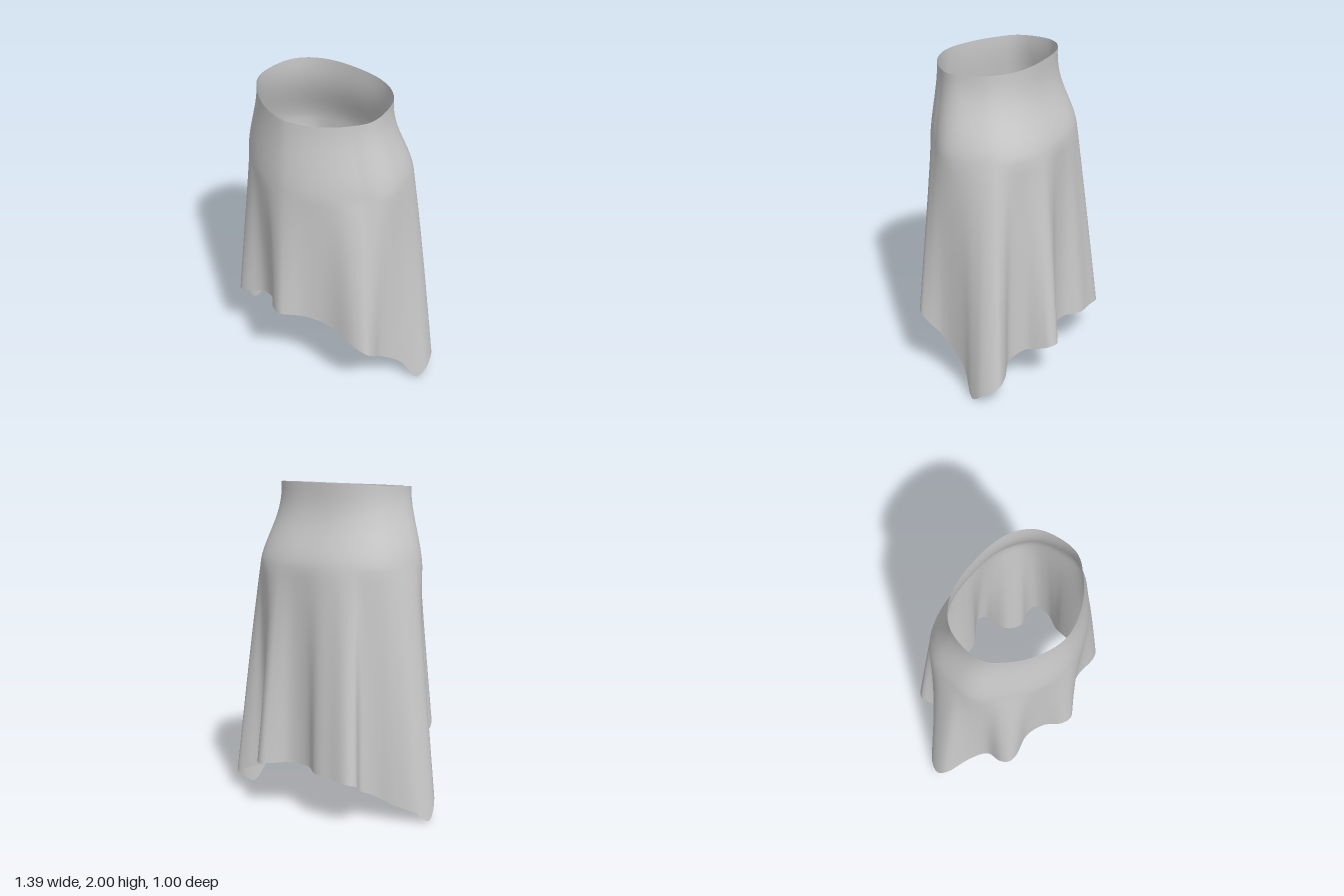
import * as THREE from 'three';

// Hem line as [x, y, z], from the front centre round by the left side (+x)
const HEM = [
  [0.03, 0.62, 0.495], [0.08, 0.62, 0.47], [0.16, 0.6, 0.4], [0.3, 0.56, 0.34], [0.48, 0.49, 0.335],
  [0.56, 0.44, 0.3], [0.57, 0.39, 0.24], [0.555, 0.31, 0.14], [0.6, 0.16, -0.03], [0.665, 0, -0.12],
  [0.69, 0.05, -0.2], [0.65, 0.12, -0.3], [0.57, 0.15, -0.3], [0.46, 0.19, -0.265], [0.36, 0.235, -0.32],
  [0.335, 0.26, -0.42], [0.32, 0.28, -0.475], [0.27, 0.285, -0.5], [0.21, 0.29, -0.47], [0.12, 0.295, -0.4],
  [-0.03, 0.295, -0.4], [-0.13, 0.29, -0.47], [-0.25, 0.28, -0.475], [-0.37, 0.265, -0.475], [-0.41, 0.25, -0.43],
  [-0.37, 0.19, -0.33], [-0.42, 0.155, -0.265], [-0.54, 0.1, -0.21], [-0.65, 0.06, -0.15], [-0.695, 0, -0.08],
  [-0.675, 0.12, 0.01], [-0.53, 0.27, 0.1], [-0.445, 0.38, 0.19], [-0.45, 0.46, 0.3], [-0.42, 0.5, 0.355],
  [-0.36, 0.52, 0.365], [-0.23, 0.56, 0.34], [-0.11, 0.6, 0.39], [-0.04, 0.62, 0.47],
];
const WAIST = { x: 0.02, z: 0.067, rx: 0.42, rz: 0.332 };
const HIP = { x: 0.025, z: 0.026, rx: 0.53, rz: 0.412 };
const HIP_Y = 1.5;
const UPPER_ROWS = 12, LOWER_ROWS = 22, COLS = HEM.length * 4;
const SPREAD = 6;
const { lerp, clamp, smoothstep } = THREE.MathUtils;

// Point on an oval that is pointed at the front and squared at the back;
// angle 0 is the front, a quarter turn is +x
function oval(o, a) {
  const s = Math.sin(a), c = Math.cos(a);
  const e = 2.1 - 0.4 * clamp(2 * c, -1, 1);
  const k = Math.pow(Math.abs(s) ** e + Math.abs(c) ** e, -1 / e);
  return [o.x + o.rx * s * k, o.z + o.rz * c * k];
}

// Angle of each hem point about the hips, averaged over its neighbours
// so that the cloth of each fold fans out evenly from the hips
function columnAngles(points) {
  const raw = points.map((h, i) => {
    const a = Math.atan2((h.x - HIP.x) / HIP.rx, (h.z - HIP.z) / HIP.rz);
    const turn = (2 * Math.PI * i) / COLS;
    return a + 2 * Math.PI * Math.round((turn - a) / (2 * Math.PI));
  });
  return raw.map((_, i) => {
    let sum = 0;
    for (let d = -SPREAD; d <= SPREAD; d++) {
      const j = i + d;
      sum += raw[(j + COLS) % COLS] + 2 * Math.PI * Math.floor(j / COLS);
    }
    return sum / (2 * SPREAD + 1);
  });
}

function skirtGeometry() {
  const curve = new THREE.CatmullRomCurve3(HEM.map((p) => new THREE.Vector3(...p)), true, 'centripetal');
  const hem = Array.from({ length: COLS }, (_, i) => curve.getPoint(i / COLS));
  const angles = columnAngles(hem);
  const rows = UPPER_ROWS + LOWER_ROWS;
  const positions = [], index = [];

  hem.forEach((h, i) => {
    const angle = angles[i];
    const w = oval(WAIST, angle), p = oval(HIP, angle);
    const topY = 1.98 - 0.022 * Math.cos(angle);
    const back = Math.max(0, -Math.cos(angle));
    const side = Math.abs(Math.sin(angle));

    // Waist to hip: rounded, with a hollow in the small of the back
    for (let r = 0; r < UPPER_ROWS; r++) {
      const t = r / UPPER_ROWS;
      const f = Math.pow(smoothstep(t, 0, 1.08) / smoothstep(1, 0, 1.08), 1 + 0.6 * back);
      positions.push(lerp(w[0], p[0], f), lerp(topY, HIP_Y, t), lerp(w[1], p[1], f));
    }
    // Hip to hem: the folds deepen as the cloth falls, swelling a little at the sides
    for (let r = 0; r <= LOWER_ROWS; r++) {
      const t = r / LOWER_ROWS;
      const f = Math.pow(t, 1 - 0.12 * side);
      positions.push(lerp(p[0], h.x, f), Math.max(0, lerp(HIP_Y, h.y, t)), lerp(p[1], h.z, f));
    }
    const c0 = i * (rows + 1), c1 = ((i + 1) % COLS) * (rows + 1);
    for (let r = 0; r < rows; r++) {
      index.push(c0 + r, c0 + r + 1, c1 + r + 1, c0 + r, c1 + r + 1, c1 + r);
    }
  });
  const geometry = new THREE.BufferGeometry();
  geometry.setAttribute('position', new THREE.Float32BufferAttribute(positions, 3));
  geometry.setIndex(index);
  geometry.computeVertexNormals();
  return geometry;
}

export function createModel() {
  const group = new THREE.Group();
  group.name = 'skirt';
  const cloth = new THREE.MeshStandardMaterial({ color: 0xcccccc, side: THREE.DoubleSide });
  const mesh = new THREE.Mesh(skirtGeometry(), cloth);
  mesh.name = 'drapedCloth';
  group.add(mesh);
  return group;
}
